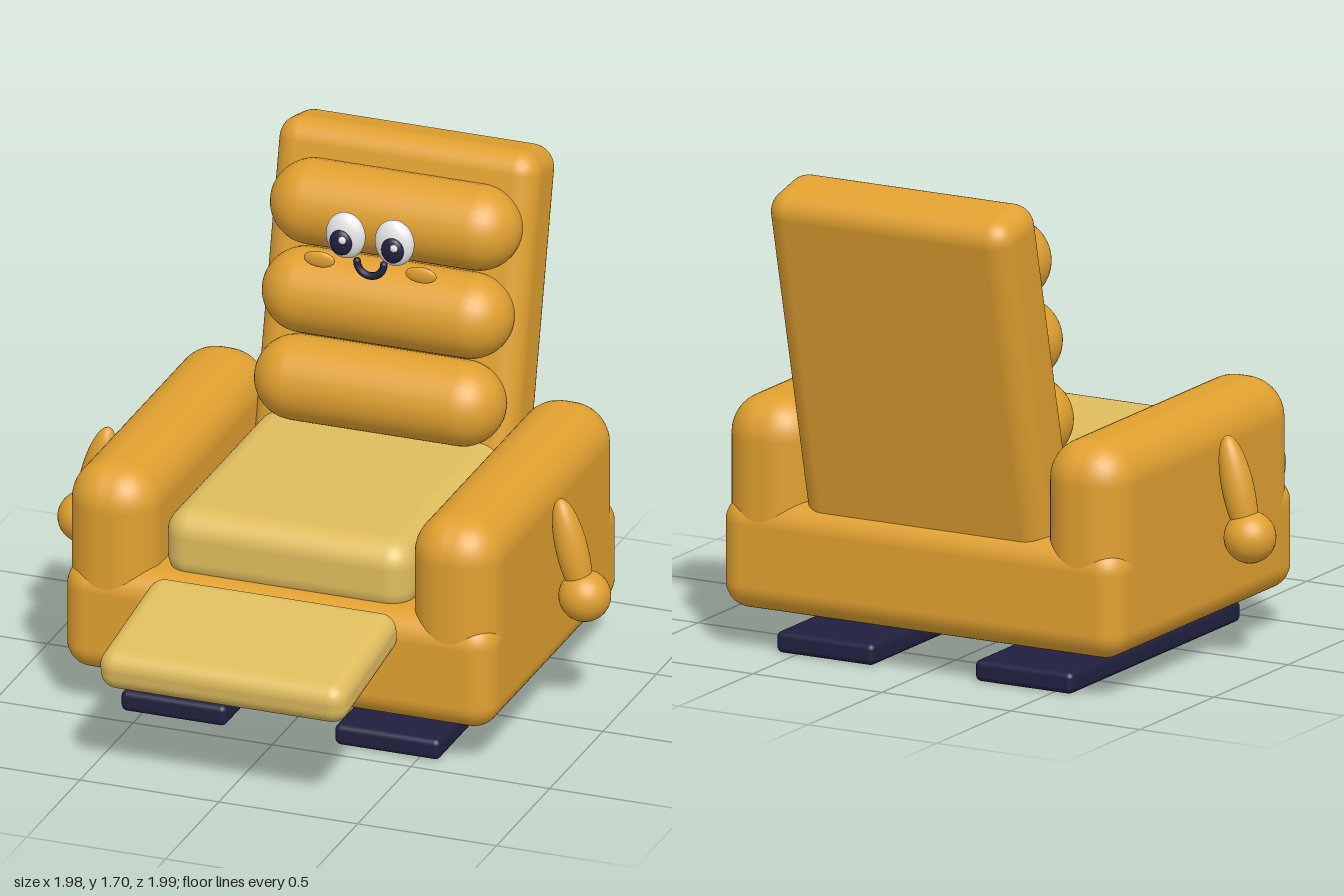
import * as THREE from 'three';
import { RoundedBoxGeometry } from 'three/addons/geometries/RoundedBoxGeometry.js';

const material = (name, color) => {
  const m = new THREE.MeshStandardMaterial({ color });
  m.name = name;
  return m;
};

export function createModel() {
  const model = new THREE.Group();
  model.name = 'armchair';

  const upholstery = material('amber upholstery', 0xe0a030);
  const cushionFabric = material('pale gold cushion', 0xdfbd5e);
  const navy = material('dark navy', 0x20203f);
  const white = material('eye white', 0xececec);

  const add = (name, geometry, mat, x, y, z) => {
    const mesh = new THREE.Mesh(geometry, mat);
    mesh.name = name;
    mesh.position.set(x, y, z);
    model.add(mesh);
    return mesh;
  };
  // Rounded box given by its size and centre
  const box = (name, mat, [w, h, d], r, [x, y, z]) =>
    add(name, new RoundedBoxGeometry(w, h, d, 6, r), mat, x, y, z);
  // Ellipsoid given by its half sizes and centre
  const ball = (name, mat, [rx, ry, rz], [x, y, z]) =>
    add(name, new THREE.SphereGeometry(1, 32, 20).scale(rx, ry, rz), mat, x, y, z);

  // Base, seat and tilted footrest
  box('base', upholstery, [1.55, 0.39, 1.245], 0.09, [0, 0.335, -0.148]);
  box('seatCushion', cushionFabric, [0.89, 0.26, 1.0], 0.09, [0, 0.61, -0.11]);
  box('footrest', cushionFabric, [0.89, 0.145, 0.56], 0.06, [0, 0.44, 0.72])
    .rotation.x = THREE.MathUtils.degToRad(8.2);

  // Reclined back with three horizontal rolls
  box('backrest', upholstery, [0.94, 1.377, 0.26], 0.08, [0, 1.02, -0.72])
    .rotation.x = THREE.MathUtils.degToRad(-13.3);
  const rollShape = new THREE.CapsuleGeometry(0.147, 0.596, 12, 32).rotateZ(Math.PI / 2);
  [[1.465, -0.668], [1.172, -0.592], [0.88, -0.518]].forEach(([y, z], i) =>
    add(`backRoll${i + 1}`, rollShape, upholstery, 0, y, z));

  // Mirrored parts
  for (const [side, s] of [['left', 1], ['right', -1]]) {
    box(`${side}Armrest`, upholstery, [0.315, 0.58, 1.24], 0.14, [s * 0.6175, 0.59, -0.148]);
    box(`${side}Runner`, navy, [0.38, 0.075, 1.15], 0.022, [s * 0.385, 0.0375, -0.145]);

    // Little arm leaning in towards the armrest, with a round hand
    ball(`${side}Arm`, upholstery, [0.055, 0.19, 0.055], [s * 0.857, 0.608, -0.085])
      .rotation.z = s * 0.24;
    ball(`${side}Hand`, upholstery, [0.089, 0.089, 0.089], [s * 0.902, 0.45, -0.085]);

    // Eye, with the highlight on the same side of both pupils
    ball(`${side}Eye`, white, [0.07, 0.083, 0.038], [s * 0.088, 1.477, -0.422]);
    ball(`${side}Pupil`, navy, [0.04, 0.046, 0.02], [s * 0.093, 1.463, -0.389]);
    ball(`${side}EyeGlint`, white, [0.014, 0.014, 0.009], [s * 0.093 + 0.012, 1.48, -0.37]);
    ball(`${side}Cheek`, upholstery, [0.056, 0.029, 0.012], [s * 0.183, 1.373, -0.422]);
  }

  // Smile: lower half ring with rounded ends
  const smile = new THREE.TorusGeometry(0.048, 0.013, 12, 32, Math.PI).rotateZ(Math.PI);
  add('mouth', smile, navy, 0, 1.388, -0.424);
  for (const s of [1, -1])
    ball('mouthCorner', navy, [0.013, 0.013, 0.013], [s * 0.048, 1.388, -0.424]);

  return model;
}
